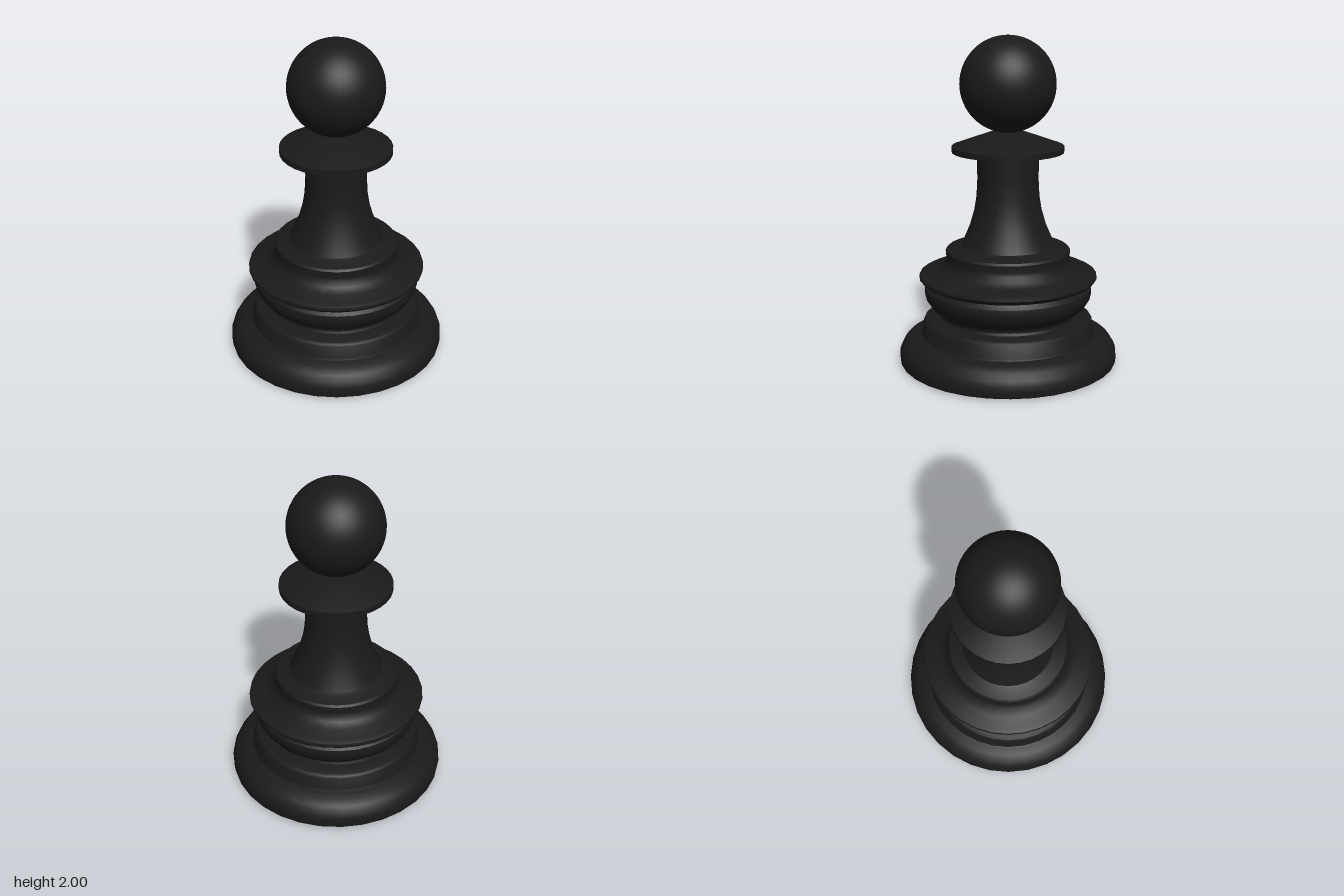
import * as THREE from 'three';
import { toCreasedNormals } from 'three/addons/utils/BufferGeometryUtils.js';

const material = new THREE.MeshStandardMaterial({ color: 0x1a1a1a });

// Turned part from [radius, height] pairs, listed from bottom to top
function turned(name, profile) {
  const points = profile.map(([r, y]) => new THREE.Vector2(r, y));
  const geometry = toCreasedNormals(new THREE.LatheGeometry(points, 32), 0.6);
  const mesh = new THREE.Mesh(geometry, material);
  mesh.name = name;
  return mesh;
}

export function createModel() {
  const pawn = new THREE.Group();
  pawn.name = 'pawn';

  // Foot with rounded shoulder and a stepped band
  pawn.add(turned('foot', [
    [0, 0], [0.22, 0], [0.6, 0.005], [0.655, 0.008], [0.665, 0.015], [0.67, 0.05],
    [0.667, 0.08], [0.655, 0.11], [0.63, 0.145], [0.59, 0.17], [0.55, 0.18],
    [0.535, 0.185], [0.53, 0.195], [0.517, 0.27], [0.51, 0.28], [0.495, 0.287], [0.42, 0.295],
  ]));

  // Bulging ring, flared lip and cove above it
  pawn.add(turned('baseMouldings', [
    [0.42, 0.295], [0.413, 0.31], [0.417, 0.328], [0.43, 0.34], [0.475, 0.37],
    [0.502, 0.41], [0.512, 0.45], [0.507, 0.48], [0.49, 0.497], [0.485, 0.505],
    [0.5, 0.513], [0.53, 0.525], [0.543, 0.542], [0.54, 0.558], [0.515, 0.57],
    [0.44, 0.585], [0.4, 0.61], [0.38, 0.64], [0.376, 0.66], [0.38, 0.705],
    [0.37, 0.717], [0.305, 0.733], [0.285, 0.742],
  ]));

  // Tapering stem
  pawn.add(turned('stem', [
    [0.285, 0.742], [0.273, 0.765], [0.23, 0.865], [0.203, 0.96], [0.19, 1.04],
    [0.184, 1.15], [0.188, 1.32],
  ]));

  // Collar, flat below and conical above
  pawn.add(turned('collar', [
    [0, 1.31], [0.337, 1.31], [0.337, 1.345], [0.115, 1.425], [0, 1.425],
  ]));

  // Ball head
  const head = new THREE.Mesh(new THREE.SphereGeometry(0.287, 48, 32), material);
  head.name = 'head';
  head.position.y = 1.713;
  pawn.add(head);

  return pawn;
}
